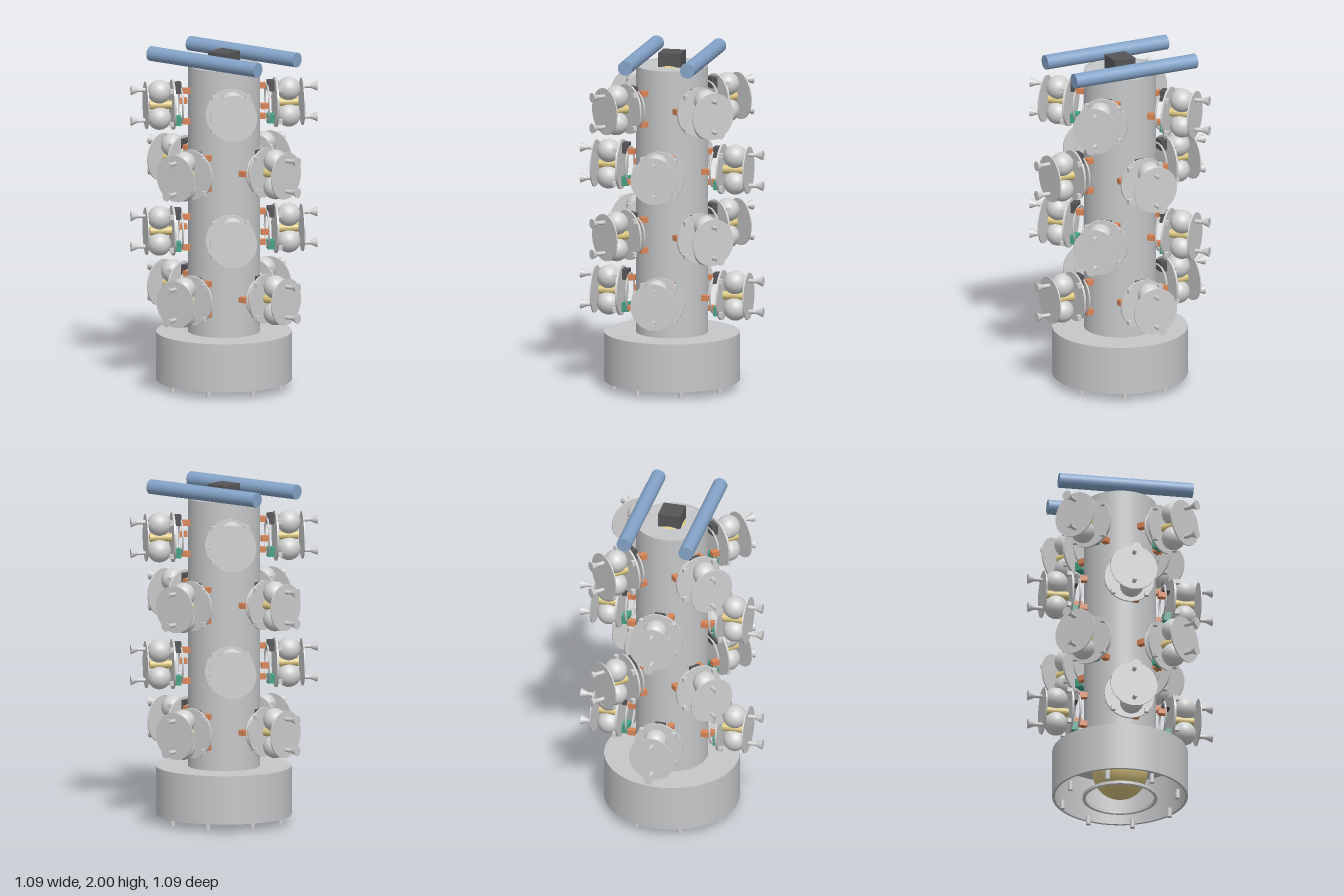
import * as THREE from 'three';

const mat = (name, color, side = THREE.FrontSide) => {
  const m = new THREE.MeshStandardMaterial({ color, side });
  m.name = name;
  return m;
};
const M = {
  hull: mat('hull grey', 0xc4c6c8),
  light: mat('light grey', 0xd0d0d0),
  gold: mat('gold', 0xd9c580),
  dark: mat('dark grey', 0x555558),
  orange: mat('orange', 0xd98558),
  green: mat('green', 0x46a084),
  blue: mat('blue', 0x84a3c8),
};

function add(parent, name, geo, material, x = 0, y = 0, z = 0) {
  const mesh = new THREE.Mesh(geo, material);
  mesh.name = name;
  mesh.position.set(x, y, z);
  parent.add(mesh);
  return mesh;
}

const box = (x, y, z) => new THREE.BoxGeometry(x, y, z);

// Cylinder lying along +x, rOuter at the far end
const rod = (rOuter, rInner, length, seg = 24) =>
  new THREE.CylinderGeometry(rOuter, rInner, length, seg).rotateZ(-Math.PI / 2);

// Solid of revolution with sharp edges: one lathe per straight run of a closed profile
function addTurned(parent, name, profile, material, seg = 64) {
  const g = new THREE.Group();
  g.name = name;
  profile.forEach((p, i) => {
    const q = profile[(i + 1) % profile.length];
    const pts = [new THREE.Vector2(...p), new THREE.Vector2(...q)];
    add(g, name + 'Face', new THREE.LatheGeometry(pts, seg), material);
  });
  parent.add(g);
  return g;
}

// Shared satellite geometry
const G = {
  plate: rod(0.146, 0.146, 0.012, 48),
  reflector: rod(0.138, 0.138, 0.007, 48),
  tank: new THREE.SphereGeometry(0.069, 32, 20),
  thruster: rod(0.025, 0.025, 0.13),
  stem: rod(0.012, 0.012, 0.055, 16),
  horn: rod(0.029, 0.012, 0.04),
  ring: new THREE.TorusGeometry(0.105, 0.006, 8, 48).rotateY(Math.PI / 2),
  bracket: box(0.045, 0.032, 0.036),
  lug: box(0.025, 0.026, 0.026),
  computer: box(0.04, 0.062, 0.064),
  battery: box(0.043, 0.052, 0.07),
};

// One small satellite, pointing outward along +x
function makeSatellite() {
  const s = new THREE.Group();
  s.name = 'satellite';

  // Mounting ring held by three brackets
  add(s, 'separationRing', G.ring, M.light, 0.252);
  for (let i = 0; i < 3; i++) {
    const a = (i * Math.PI * 2) / 3;
    add(s, 'bracket', G.bracket, M.orange, 0.227, 0.105 * Math.sin(a), 0.105 * Math.cos(a));
  }

  // Platform with equipment boxes behind and lugs in front
  add(s, 'platform', G.plate, M.light, 0.301);
  add(s, 'computerBox', G.computer, M.dark, 0.272, 0.1);
  add(s, 'batteryBox', G.battery, M.green, 0.274, -0.095);
  for (const u of [-1, 1]) for (const v of [-1, 1])
    add(s, 'lug', G.lug, M.light, 0.318, v * 0.098, u * 0.098);

  // Tanks, thruster and reflector with two horns
  add(s, 'thruster', G.thruster, M.gold, 0.37);
  add(s, 'reflector', G.reflector, M.light, 0.457);
  for (const v of [-1, 1]) {
    add(s, 'tank', G.tank, M.light, 0.379, v * 0.078);
    add(s, 'hornStem', G.stem, M.light, 0.482, v * 0.091);
    add(s, 'horn', G.horn, M.light, 0.526, v * 0.091);
  }
  return s;
}

export function createModel() {
  const model = new THREE.Group();
  model.name = 'satelliteDispenser';

  // Central column with a slightly sunken lid
  addTurned(model, 'column', [[0.2, 0.32], [0.21, 0.32], [0.21, 1.912], [0.2, 1.912]], M.hull);
  add(model, 'columnLid', new THREE.CylinderGeometry(0.2, 0.2, 0.01, 64), M.hull, 0, 1.904);

  // Open-bottomed base drum
  addTurned(model, 'baseDrum', [
    [0, 0.315], [0.38, 0.315], [0.38, 0.045], [0.395, 0.045], [0.395, 0.33], [0, 0.33],
  ], M.hull);
  addTurned(model, 'baseRing', [[0.2, 0.03], [0.218, 0.03], [0.218, 0.047], [0.2, 0.047]], M.light);

  // Pins under the drum
  for (let i = 0; i < 8; i++) {
    const a = ((i + 0.5) * Math.PI) / 4;
    add(model, 'pin', new THREE.CylinderGeometry(0.014, 0.014, 0.055, 16), M.light,
      0.342 * Math.cos(a), 0.0275, 0.342 * Math.sin(a));
  }

  // Fuel spheres, the upper one just showing through the lid
  add(model, 'lowerTank', new THREE.SphereGeometry(0.16, 40, 24), M.gold, 0, 0.2);
  add(model, 'upperTank', new THREE.SphereGeometry(0.16, 40, 24), M.gold, 0, 1.771);

  // Top equipment: control box and two long tubes
  add(model, 'controlBox', box(0.133, 0.085, 0.133), M.dark, 0, 1.949);
  for (const side of [-1, 1])
    add(model, 'topTube', rod(0.043, 0.043, 0.79, 32), M.blue, 0, 1.957, side * 0.186);

  // Four tiers of four satellites, alternate tiers turned by an eighth
  for (let tier = 0; tier < 4; tier++) {
    for (let i = 0; i < 4; i++) {
      const s = makeSatellite();
      s.position.y = 0.559 + tier * 0.374;
      s.rotation.y = -(i * Math.PI) / 2 - (tier % 2) * (Math.PI / 4);
      model.add(s);
    }
  }
  return model;
}
